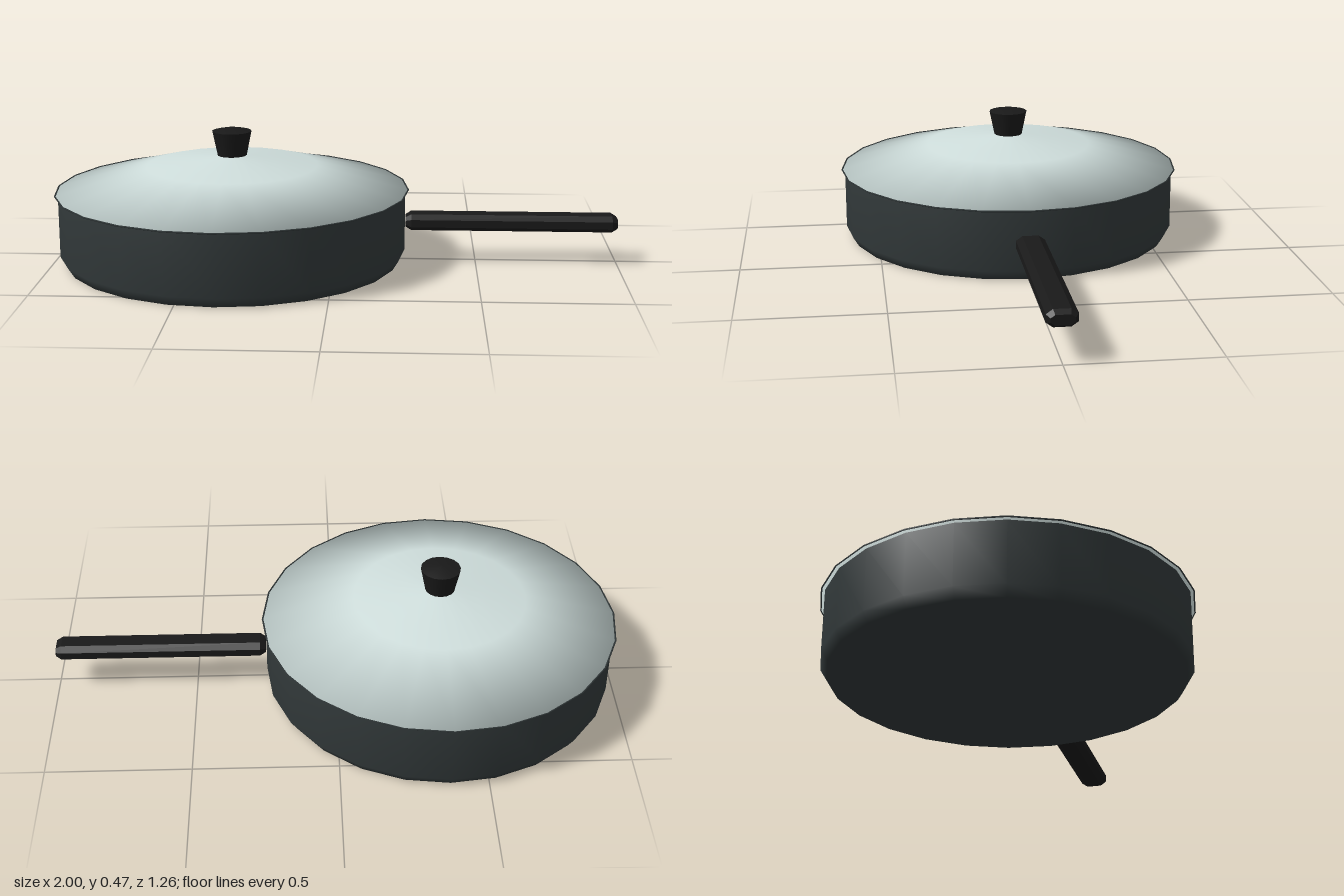
import * as THREE from 'three';

const SIDES = 24;
const PAN_X = -0.37;

function material(name, color) {
  const m = new THREE.MeshStandardMaterial({ color });
  m.name = name;
  return m;
}

// Revolved part; the profile runs from the bottom outward and up
function lathe(name, profile, sides, mat) {
  const points = profile.map(([r, y]) => new THREE.Vector2(r, y));
  const mesh = new THREE.Mesh(new THREE.LatheGeometry(points, sides), mat);
  mesh.name = name;
  mesh.position.x = PAN_X;
  return mesh;
}

export function createModel() {
  const group = new THREE.Group();
  group.name = 'coveredPan';

  const iron = material('dark iron', 0x313839);
  const steel = material('pale steel', 0xcfdedc);
  const black = material('black plastic', 0x191919);

  // Body with bevelled base and inner wall
  group.add(lathe('panBody', [
    [0, 0], [0.595, 0], [0.617, 0.035], [0.617, 0.25],
    [0.6, 0.25], [0.6, 0.03], [0, 0.03],
  ], SIDES, iron));

  // Shallow domed lid with a flat underside flange
  group.add(lathe('lid', [
    [0.3, 0.248], [0.629, 0.254], [0.305, 0.34], [0, 0.375],
  ], SIDES, steel));

  // Thin dark edge around the lid
  const rim = new THREE.Mesh(new THREE.TorusGeometry(0.628, 0.003, 4, SIDES), iron);
  rim.name = 'lidRim';
  rim.rotation.x = Math.PI / 2;
  rim.position.set(PAN_X, 0.255, 0);
  group.add(rim);

  // Flared knob with a slightly crowned top
  group.add(lathe('lidKnob', [
    [0, 0.372], [0.052, 0.376], [0.052, 0.376], [0.07, 0.463],
    [0.07, 0.463], [0.035, 0.471], [0, 0.474],
  ], 16, black));

  // Octagonal handle with chamfered ends
  const bevel = 0.012;
  const w = 0.05 - bevel, h = 0.029 - bevel, cw = 0.014, ch = 0.01;
  const section = new THREE.Shape([
    [-w + cw, -h], [w - cw, -h], [w, -h + ch], [w, h - ch],
    [w - cw, h], [-w + cw, h], [-w, h - ch], [-w, -h + ch],
  ].map(([x, y]) => new THREE.Vector2(x, y)));
  const handleGeo = new THREE.ExtrudeGeometry(section, {
    depth: 0.75 - 2 * 0.02, bevelEnabled: true, bevelSegments: 1,
    bevelSize: bevel, bevelThickness: 0.02,
  });
  handleGeo.rotateY(Math.PI / 2);
  const handle = new THREE.Mesh(handleGeo, black);
  handle.name = 'handle';
  handle.position.set(0.27, 0.143, 0);
  group.add(handle);

  return group;
}
